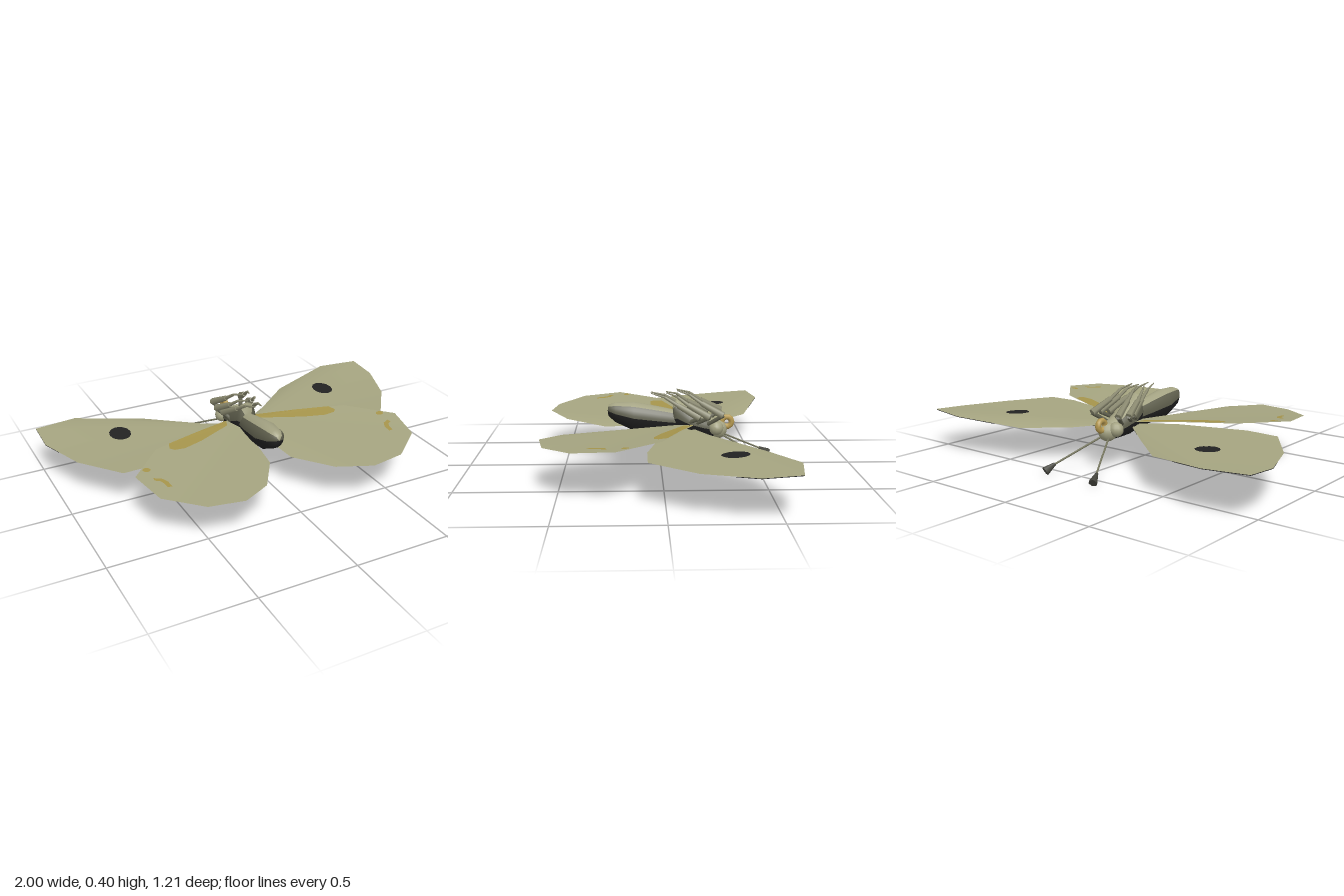
import * as THREE from 'three';

const mat = (name, color, double) => {
  const m = new THREE.MeshStandardMaterial({ color });
  m.name = name;
  if (double) m.side = THREE.DoubleSide;
  return m;
};

export function createModel() {
  const model = new THREE.Group();
  model.name = 'butterfly';
  const wingTan = mat('wing tan', 0xa5a480, true);
  const bodyTan = mat('body tan', 0xa3a282);
  const flankOlive = mat('flank olive', 0x5e5e4c);
  const legOlive = mat('leg olive', 0x8c8b71);
  const black = mat('marking black', 0x222222, true);
  const gold = mat('marking gold', 0xa5944b, true);
  const tongueGold = mat('tongue gold', 0xb79a50);
  const stemGrey = mat('antenna olive', 0x77775f);
  const clubDark = mat('club dark', 0x45453d);

  const add = (name, geo, material) => {
    const m = new THREE.Mesh(geo, material);
    m.name = name;
    model.add(m);
    return m;
  };

  // Tapered rod between two points
  const rod = (name, a, b, r1, r2, material, sides = 6) => {
    const A = new THREE.Vector3(...a), B = new THREE.Vector3(...b);
    const d = B.clone().sub(A);
    const m = add(name, new THREE.CylinderGeometry(r2, r1, d.length(), sides), material);
    m.position.copy(A).addScaledVector(d, 0.5);
    m.quaternion.setFromUnitVectors(new THREE.Vector3(0, 1, 0), d.normalize());
  };

  // Part of a shell lofted through sections [z, centreY, rx, ry], from tail to head
  const shell = (name, sections, from, to, material) => {
    const n = 5, pos = [], idx = [];
    for (const [z, y, rx, ry] of sections)
      for (let i = 0; i <= n; i++) {
        const a = THREE.MathUtils.degToRad(from + ((to - from) * i) / n);
        pos.push(rx * Math.cos(a), y + ry * Math.sin(a), z);
      }
    for (let j = 0; j < sections.length - 1; j++)
      for (let i = 0; i < n; i++) {
        const p = j * (n + 1) + i, q = p + n + 1;
        idx.push(p, q, p + 1, p + 1, q, q + 1);
      }
    const g = new THREE.BufferGeometry();
    g.setAttribute('position', new THREE.Float32BufferAttribute(pos, 3));
    g.setIndex(idx);
    g.computeVertexNormals();
    add(name, g, material);
  };

  // Wing outlines as [x, y, z]; the first point is the root of the fan
  const foreWing = [
    [0.03, 0.2, -0.12], [0.06, 0.197, -0.18], [0.22, 0.178, -0.31], [0.43, 0.176, -0.49],
    [0.78, 0.208, -0.605], [1, 0.212, -0.57], [1, 0.2, -0.39], [0.91, 0.197, -0.14],
    [0.75, 0.205, 0.08], [0.58, 0.208, 0.08], [0.2, 0.2, 0.0],
  ];
  const hindWing = [
    [0.03, 0.22, -0.13], [0.07, 0.222, -0.17], [0.3, 0.24, -0.085], [0.55, 0.252, 0.01],
    [0.74, 0.252, 0.22], [0.7, 0.238, 0.43], [0.53, 0.222, 0.57], [0.35, 0.22, 0.6],
    [0.19, 0.205, 0.5], [0.06, 0.19, 0.29], [0.04, 0.2, 0.12],
  ];

  const wing = (name, pts, s) => {
    const idx = [];
    for (let i = 1; i < pts.length - 1; i++) idx.push(...(s > 0 ? [0, i + 1, i] : [0, i, i + 1]));
    const g = new THREE.BufferGeometry();
    g.setAttribute('position', new THREE.Float32BufferAttribute(pts.flatMap(([x, y, z]) => [s * x, y, z]), 3));
    g.setIndex(idx);
    g.computeVertexNormals();
    add(name, g, wingTan);
  };

  // Height of the wing fan at (x, z)
  const heightAt = (pts, x, z) => {
    const [rx, ry, rz] = pts[0];
    for (let i = 1; i < pts.length - 1; i++) {
      const [ax, ay, az] = pts[i], [bx, by, bz] = pts[i + 1];
      const det = (ax - rx) * (bz - rz) - (bx - rx) * (az - rz);
      const u = ((x - rx) * (bz - rz) - (bx - rx) * (z - rz)) / det;
      const v = ((ax - rx) * (z - rz) - (x - rx) * (az - rz)) / det;
      if (u >= -0.001 && v >= -0.001) return ry + u * (ay - ry) + v * (by - ry);
    }
    return ry;
  };

  // Split each flat triangle into four, several times, so a marking can follow the wing
  const split = (tris, times) => {
    if (!times) return tris;
    const mid = (a, b) => [(a[0] + b[0]) / 2, (a[1] + b[1]) / 2];
    return split(tris.flatMap(([a, b, c]) => {
      const ab = mid(a, b), bc = mid(b, c), ca = mid(c, a);
      return [[a, ab, ca], [ab, b, bc], [ca, bc, c], [ab, bc, ca]];
    }), times - 1);
  };

  // Thin marking draped on a wing, just above or below it
  const marking = (name, pts, outline, offset, s, material) => {
    const points = outline.map(([x, z]) => new THREE.Vector2(x, z));
    const faces = THREE.ShapeUtils.triangulateShape(points, []).map((f) => f.map((i) => outline[i]));
    const pos = split(faces, 3).flatMap((tri) =>
      (s * offset < 0 ? tri : [...tri].reverse())
        .flatMap(([x, z]) => [s * x, heightAt(pts, x, z) + offset, z]));
    const g = new THREE.BufferGeometry();
    g.setAttribute('position', new THREE.Float32BufferAttribute(pos, 3));
    g.computeVertexNormals();
    add(name, g, material);
  };
  const oval = (cx, cz, rx, rz) => Array.from({ length: 12 }, (_, i) => {
    const a = (i / 12) * Math.PI * 2;
    return [cx + rx * Math.cos(a), cz + rz * Math.sin(a)];
  });

  const tip = [[0.57, -0.536], [0.78, -0.605], [1, -0.57], [1, -0.39], [0.962, -0.285],
    [0.92, -0.37], [0.84, -0.45], [0.72, -0.51]];
  const rootPatch = [[0.035, -0.12], [0.06, -0.18], [0.15, -0.253], [0.17, -0.19], [0.13, -0.11], [0.1, -0.075]];
  const streak = [[0.08, -0.165], [0.3, -0.083], [0.47, -0.02], [0.485, 0.025], [0.465, 0.045],
    [0.41, 0.045], [0.3, 0.0], [0.1, -0.11]];
  const crescent = [[0.665, 0.26], [0.63, 0.275], [0.612, 0.31], [0.61, 0.355], [0.632, 0.355],
    [0.635, 0.32], [0.645, 0.295], [0.668, 0.282]];

  for (const s of [1, -1]) {
    const side = s > 0 ? 'left' : 'right';
    wing(side + 'ForeWing', foreWing, s);
    wing(side + 'HindWing', hindWing, s);

    // Wing markings
    for (const off of [0.003, -0.003])
      marking(side + 'ForeWingSpot', foreWing, oval(0.62, -0.325, 0.056, 0.068), off, s, black);
    marking(side + 'ForeWingSmallSpot', foreWing, oval(0.52, -0.09, 0.042, 0.034), -0.003, s, black);
    marking(side + 'ForeWingTip', foreWing, tip, -0.003, s, black);
    marking(side + 'ForeWingRoot', foreWing, rootPatch, -0.003, s, black);
    marking(side + 'HindWingStreak', hindWing, streak, 0.003, s, gold);
    marking(side + 'HindWingCrescent', hindWing, crescent, 0.003, s, gold);
    marking(side + 'HindWingDot', hindWing, oval(0.668, 0.18, 0.02, 0.018), 0.003, s, gold);

    // Eye
    const eye = add(side + 'Eye', new THREE.SphereGeometry(0.038, 12, 8), bodyTan);
    eye.position.set(s * 0.045, 0.202, -0.288);

    // Antenna with flared club
    rod(side + 'Antenna', [s * 0.02, 0.165, -0.315], [s * 0.14, 0.045, -0.55], 0.005, 0.005, stemGrey);
    rod(side + 'AntennaClub', [s * 0.137, 0.05, -0.54], [s * 0.156, 0.019, -0.59], 0.008, 0.023, clubDark);

    // Three folded legs: hip, thick thigh, thin shin and foot
    [[-0.32, 0.275, 0.085, -0.085, 0.397], [-0.25, 0.268, 0.095, -0.03, 0.385], [-0.2, 0.262, 0.08, 0.05, 0.383]]
      .forEach(([z, y, x, endZ, endY], i) => {
        const knee = [s * x, y, z], mid = [s * (x - 0.03), y + 0.06, z + 0.11];
        const ankle = [s * (x - 0.045), (y + 0.06 + endY) / 2 + 0.012, (z + 0.11 + endZ) / 2];
        rod(side + 'LegHip' + i, [s * 0.045, 0.22, z + 0.08], knee, 0.01, 0.012, flankOlive);
        rod(side + 'LegThigh' + i, knee, mid, 0.019, 0.014, legOlive);
        rod(side + 'LegShin' + i, mid, ankle, 0.01, 0.007, legOlive);
        rod(side + 'LegFoot' + i, ankle, [s * 0.018, endY, endZ], 0.006, 0.003, legOlive);
      });
  }

  // Abdomen and thorax: pale belly on top, olive flanks, black back underneath
  const abdomen = [[0.276, 0.29, 0.001, 0.001], [0.272, 0.29, 0.025, 0.03], [0.235, 0.28, 0.05, 0.052],
    [0.14, 0.258, 0.066, 0.076], [0, 0.24, 0.056, 0.068], [-0.08, 0.23, 0.045, 0.06]];
  const thorax = [[-0.06, 0.245, 0.001, 0.001], [-0.065, 0.25, 0.04, 0.07], [-0.085, 0.255, 0.055, 0.095],
    [-0.15, 0.225, 0.068, 0.077], [-0.23, 0.203, 0.062, 0.058], [-0.3, 0.19, 0.04, 0.045]];
  for (const [name, sections] of [['abdomen', abdomen], ['thorax', thorax]]) {
    shell(name + 'LeftFlank', sections, 0, 50, flankOlive);
    shell(name + 'Belly', sections, 50, 130, bodyTan);
    shell(name + 'RightFlank', sections, 130, 180, flankOlive);
    shell(name + 'Back', sections, 180, 360, black);
  }

  // Head and coiled tongue
  const head = add('head', new THREE.SphereGeometry(0.05, 12, 8), bodyTan);
  head.position.set(0, 0.188, -0.3);
  const tongue = add('tongue', new THREE.TorusGeometry(0.026, 0.015, 8, 10), tongueGold);
  tongue.position.set(0, 0.226, -0.347);
  tongue.rotation.y = Math.PI / 2;

  return model;
}
